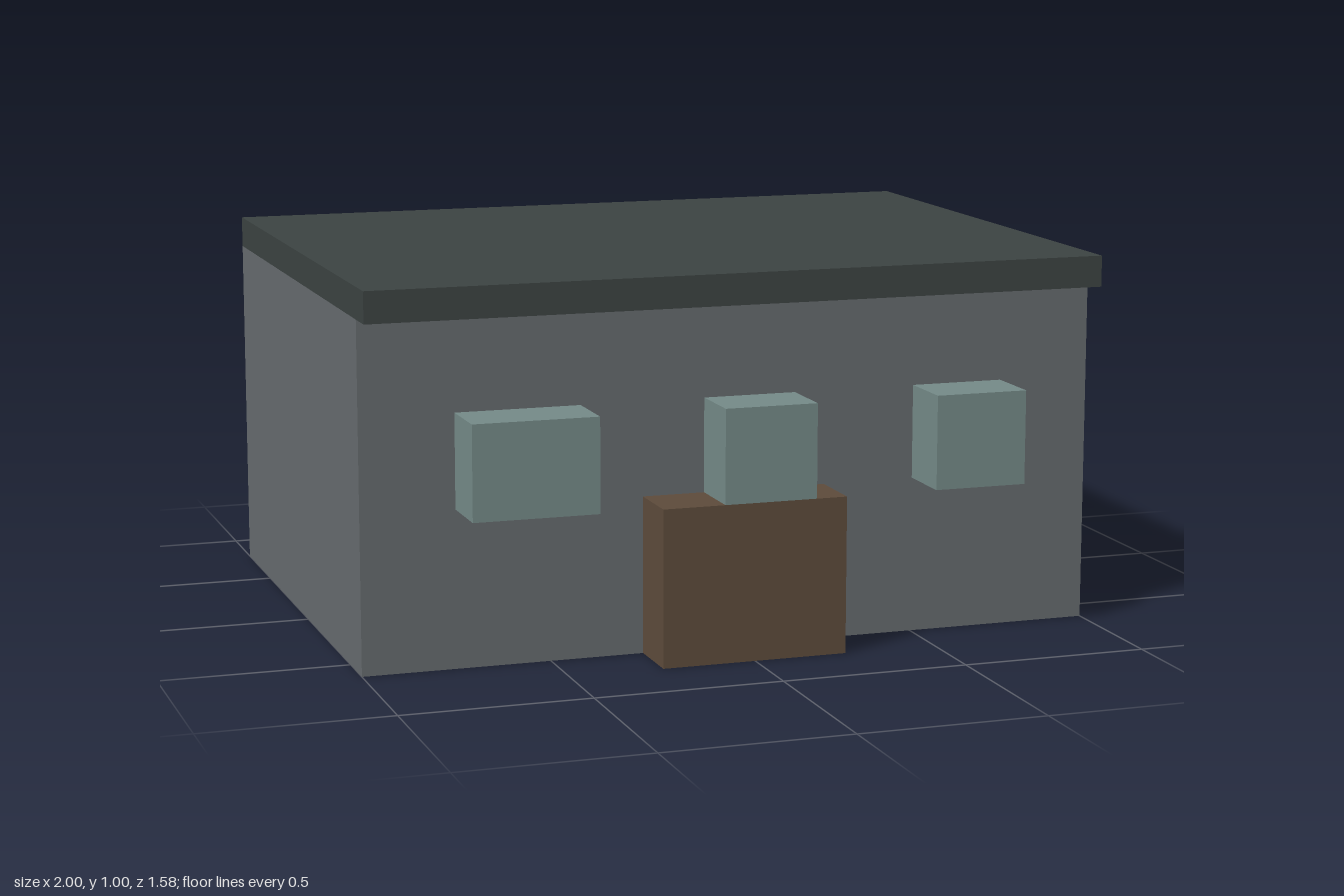
import * as THREE from 'three';

const material = (name, color) => {
  const m = new THREE.MeshStandardMaterial({ color });
  m.name = name;
  return m;
};

export function createModel() {
  const house = new THREE.Group();
  house.name = 'house';

  const wallGrey = material('wall grey', 0x666b6e);
  const roofSlate = material('roof slate', 0x3c4342);
  const doorBrown = material('door brown', 0x5d4b3b);
  const windowGlass = material('window glass', 0x748a88);

  // Box given by its low and high limits on each axis
  const addBox = (name, mat, [x0, x1], [y0, y1], [z0, z1]) => {
    const mesh = new THREE.Mesh(new THREE.BoxGeometry(x1 - x0, y1 - y0, z1 - z0), mat);
    mesh.position.set((x0 + x1) / 2, (y0 + y1) / 2, (z0 + z1) / 2);
    mesh.name = name;
    house.add(mesh);
  };

  const back = -0.792, wallFront = 0.625, bayFront = 0.792;
  const eaves = 0.917, sill = 0.417;

  // Main block and flat roof overhanging the front
  addBox('walls', wallGrey, [-1, 1], [0, eaves], [back, wallFront]);
  addBox('roof', roofSlate, [-1, 1], [eaves, 1], [back, 0.708]);

  // Projecting doorway
  addBox('door', doorBrown, [-0.25, 0.25], [0, sill], [wallFront, bayFront]);

  // Projecting windows
  const windows = {
    rightWindow: [-0.75, -0.417],
    middleWindow: [-0.083, 0.167],
    leftWindow: [0.5, 0.75],
  };
  for (const [name, span] of Object.entries(windows)) {
    addBox(name, windowGlass, span, [sill, 0.667], [wallFront, bayFront]);
  }

  return house;
}
